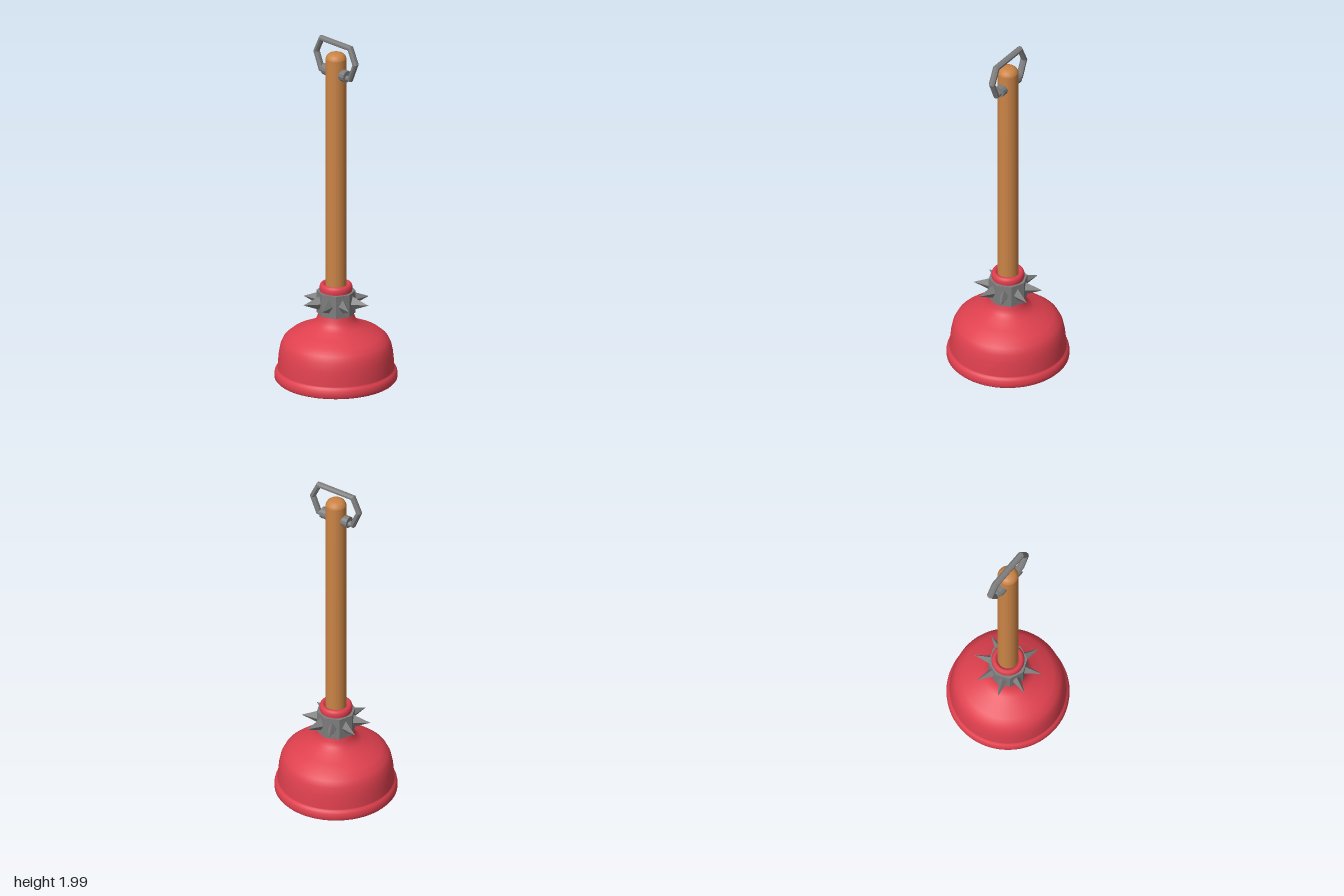
import * as THREE from 'three';

const mat = (name, color, opts = {}) => {
  const m = new THREE.MeshStandardMaterial({ color, ...opts });
  m.name = name;
  return m;
};

function add(parent, name, geometry, material) {
  const mesh = new THREE.Mesh(geometry, material);
  mesh.name = name;
  parent.add(mesh);
  return mesh;
}

const lathe = (points, segments) =>
  new THREE.LatheGeometry(points.map(([r, y]) => new THREE.Vector2(r, y)), segments);

// Sweeps an eight-sided section along a flat path with mitred corners.
function mitredBar(path, thick, depth) {
  const pts = path.map(([x, y]) => new THREE.Vector2(x, y));
  const sides = 8, pos = [], idx = [];
  pts.forEach((p, i) => {
    const a = p.clone().sub(pts[Math.max(i - 1, 0)]).normalize();
    const b = pts[Math.min(i + 1, pts.length - 1)].clone().sub(p).normalize();
    if (i === 0) a.copy(b);
    if (i === pts.length - 1) b.copy(a);
    const t = a.clone().add(b).normalize();
    const n = new THREE.Vector2(-t.y, t.x).divideScalar(t.dot(a));
    for (let k = 0; k < sides; k++) {
      const ang = ((k + 0.5) / sides) * Math.PI * 2;
      const u = (Math.cos(ang) / Math.cos(Math.PI / 8)) * thick;
      pos.push(p.x + n.x * u, p.y + n.y * u, (Math.sin(ang) / Math.cos(Math.PI / 8)) * depth);
      if (i > 0) {
        const k2 = (k + 1) % sides, r0 = (i - 1) * sides, r1 = i * sides;
        idx.push(r0 + k, r0 + k2, r1 + k2, r0 + k, r1 + k2, r1 + k);
      }
    }
  });
  const g = new THREE.BufferGeometry();
  g.setAttribute('position', new THREE.Float32BufferAttribute(pos, 3));
  g.setIndex(idx);
  const flat = g.toNonIndexed();
  flat.computeVertexNormals();
  return flat;
}

export function createModel() {
  const model = new THREE.Group();
  model.name = 'plunger';
  const rubber = mat('red rubber', 0xdf404e);
  const wood = mat('wood', 0xcb8446);
  const metal = mat('grey metal', 0x7e7e7e, { flatShading: true, side: THREE.DoubleSide });

  // Hollow cup: inside from the crown down, round the rim, then up the outside to the neck lip
  add(model, 'rubberCup', lathe([
    [0, 0.3], [0.08, 0.295], [0.16, 0.28], [0.225, 0.25], [0.262, 0.21], [0.28, 0.16],
    [0.292, 0.09], [0.3, 0.04], [0.306, 0.015], [0.318, 0.006],
    [0.332, 0.008], [0.339, 0.016], [0.34, 0.035], [0.337, 0.052], [0.33, 0.063], [0.323, 0.068],
    [0.322, 0.075], [0.32, 0.11], [0.315, 0.16], [0.306, 0.205], [0.289, 0.24], [0.254, 0.27],
    [0.2, 0.295], [0.142, 0.323], [0.116, 0.345], [0.104, 0.37], [0.096, 0.4], [0.09, 0.43],
    [0.088, 0.52], [0.091, 0.535], [0.091, 0.55], [0.086, 0.563], [0.076, 0.569],
    [0.066, 0.565], [0.057, 0.552],
  ], 64), rubber);

  // Wooden stick with a rounded end
  add(model, 'stick', lathe([
    [0, 0.42], [0.058, 0.42], [0.058, 0.421], [0.058, 1.2], [0.058, 1.893], [0.057, 1.9],
    [0.051, 1.913], [0.04, 1.923], [0.025, 1.928], [0, 1.93],
  ], 32), wood);

  // Eight-sided collar with a spike on every face
  const collar = new THREE.Group();
  collar.name = 'spikedCollar';
  model.add(collar);
  add(collar, 'collarBand', new THREE.CylinderGeometry(0.108, 0.108, 0.13, 8), metal)
    .position.y = 0.46;
  for (let i = 0; i < 8; i++) {
    const spike = new THREE.ConeGeometry(1, 0.1, 4);
    spike.scale(0.026, 1, 0.042);
    spike.rotateX(Math.PI / 2);
    spike.translate(0, 0, 0.144);
    spike.rotateY(((i + 0.5) * Math.PI) / 4);
    add(collar, 'spike', spike, metal).position.y = 0.462;
  }

  // Metal hanging loop and its two side lugs
  const hanger = new THREE.Group();
  hanger.name = 'hanger';
  model.add(hanger);
  const half = [[0.06, 1.805], [0.114, 1.805], [0.154, 1.9], [0.113, 1.986]];
  const path = [...half, ...half.map(([x, y]) => [-x, y]).reverse()];
  add(hanger, 'hangingLoop', mitredBar(path, 0.014, 0.018), metal);
  for (const side of [-1, 1]) {
    const lug = new THREE.CylinderGeometry(0.033, 0.033, 0.045, 12);
    lug.rotateZ(Math.PI / 2);
    add(hanger, side > 0 ? 'leftLug' : 'rightLug', lug, metal).position.set(side * 0.067, 1.812, 0);
  }
  return model;
}
